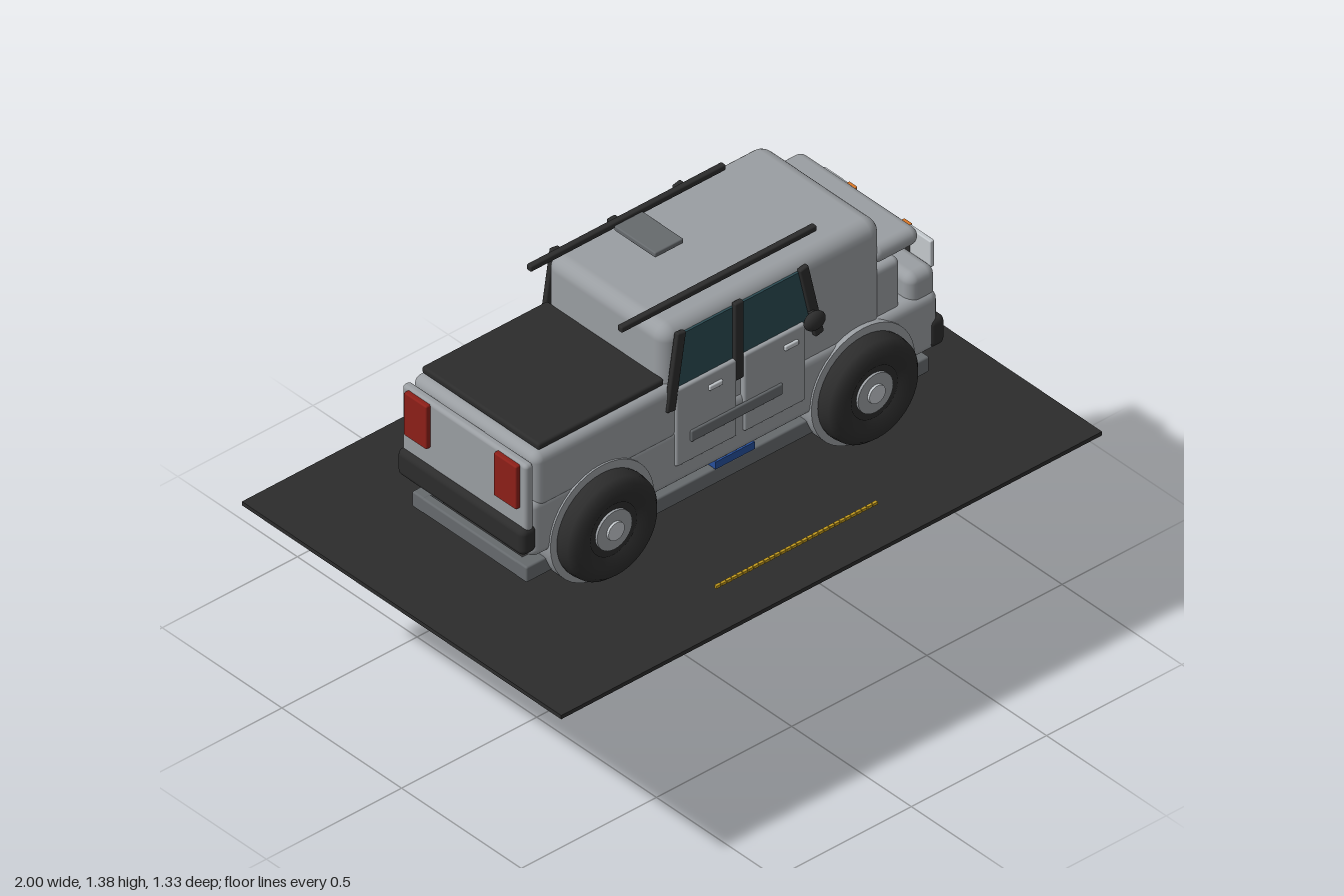
import * as THREE from 'three';
import { RoundedBoxGeometry } from 'three/addons/geometries/RoundedBoxGeometry.js';

const mat = (name, color) => Object.assign(new THREE.MeshStandardMaterial({ color }), { name });

export function createModel() {
  const body = mat('body grey', 0x9a9ea2);
  const steel = mat('dark steel', 0x666a6d);
  const black = mat('black trim', 0x2c2c2c);
  const glass = mat('teal glass', 0x2b4a52);
  const light = mat('lamp white', 0xc4c9cd);
  const red = mat('red', 0x8c1f18);
  const orange = mat('orange', 0xd87526);
  const blue = mat('blue', 0x264f9c);
  const yellow = mat('yellow', 0xc29a1e);

  const model = new THREE.Group();
  model.name = 'truckOnStand';
  const group = (name) => {
    const g = new THREE.Group();
    g.name = name;
    model.add(g);
    return g;
  };
  const add = (parent, name, geo, m) => {
    const mesh = new THREE.Mesh(geo, m);
    mesh.name = name;
    parent.add(mesh);
    return mesh;
  };
  // box from its limits, rounded when r > 0
  const box = (parent, name, m, [x0, x1], [y0, y1], [z0, z1], r = 0) => {
    const s = [x1 - x0, y1 - y0, z1 - z0];
    const geo = r ? new RoundedBoxGeometry(...s, 3, r) : new THREE.BoxGeometry(...s);
    const mesh = add(parent, name, geo, m);
    mesh.position.set((x0 + x1) / 2, (y0 + y1) / 2, (z0 + z1) / 2);
    return mesh;
  };
  // cylinder between two points
  const rod = (parent, name, m, a, b, r, sides = 20) => {
    const p = new THREE.Vector3(...a), q = new THREE.Vector3(...b);
    const d = q.clone().sub(p);
    const mesh = add(parent, name, new THREE.CylinderGeometry(r, r, d.length(), sides), m);
    mesh.position.copy(p).add(q).multiplyScalar(0.5);
    mesh.quaternion.setFromUnitVectors(new THREE.Vector3(0, 1, 0), d.normalize());
    return mesh;
  };
  // z limits mirrored to the chosen side
  const side = (s, a, b) => (s > 0 ? [a, b] : [-b, -a]);

  // ground plate with a dashed line
  const road = group('road');
  box(road, 'roadPlate', black, [-1, 1], [0.605, 0.618], [-0.667, 0.667]);
  for (let i = 0; i < 30; i++) {
    const x = -0.3 + i * 0.02;
    box(road, 'lineDash', yellow, [x, x + 0.017], [0.633, 0.642], [0.516, 0.525]);
  }

  // main body volumes
  const shell = group('bodyShell');
  box(shell, 'lowerBody', body, [-0.75, 0.76], [0.8, 1.0], [-0.262, 0.262], 0.03);
  box(shell, 'bed', body, [-0.735, -0.2], [0.96, 1.15], [-0.262, 0.262], 0.03);
  box(shell, 'cab', body, [-0.25, 0.56], [0.86, 1.335], [-0.252, 0.252], 0.045);
  box(shell, 'engineBay', body, [0.5, 0.635], [0.95, 1.16], [-0.24, 0.24], 0.02);
  box(shell, 'nose', body, [0.66, 0.76], [0.88, 1.078], [-0.25, 0.25], 0.03);
  box(shell, 'cowlRoll', body, [0.53, 0.7], [1.178, 1.236], [-0.25, 0.25], 0.028);
  box(shell, 'tailgate', body, [-0.77, -0.74], [0.9, 1.135], [-0.26, 0.26], 0.012);
  box(shell, 'bedCover', black, [-0.71, -0.245], [1.152, 1.175], [-0.245, 0.245], 0.008);

  // wheels, fenders and side details
  const tireProfile = [[0.085, -0.035], [0.12, -0.05], [0.15, -0.048], [0.166, -0.03], [0.17, 0],
    [0.166, 0.03], [0.15, 0.048], [0.12, 0.05], [0.085, 0.035]].map((p) => new THREE.Vector2(...p));
  for (const s of [1, -1]) {
    const wheels = group(s > 0 ? 'nearWheels' : 'farWheels');
    for (const x of [-0.495, 0.47]) {
      rod(shell, 'fender', body, [x, 0.82, s * 0.2], [x, 0.82, s * 0.268], 0.192, 40);
      const tire = add(wheels, 'tire', new THREE.LatheGeometry(tireProfile, 40), black);
      tire.rotation.x = Math.PI / 2;
      tire.position.set(x, 0.817, s * 0.28);
      rod(wheels, 'rim', black, [x, 0.817, s * 0.24], [x, 0.817, s * 0.312], 0.095, 32);
      rod(wheels, 'hubDisc', body, [x, 0.817, s * 0.3], [x, 0.817, s * 0.32], 0.065, 32);
      rod(wheels, 'hubCap', light, [x, 0.817, s * 0.31], [x, 0.817, s * 0.328], 0.03, 24);
    }
    const trim = group(s > 0 ? 'nearSide' : 'farSide');
    // window pane as a thin trapezoid
    const pane = new THREE.Shape([[-0.225, 1.13], [0.29, 1.13], [0.25, 1.31], [-0.195, 1.31]]
      .map((p) => new THREE.Vector2(...p)));
    const win = add(trim, 'window', new THREE.ExtrudeGeometry(pane, { depth: 0.008, bevelEnabled: false }), glass);
    win.position.z = s > 0 ? 0.25 : -0.258;
    for (const [x0, x1, y0] of [[-0.24, -0.2, 1.07], [0.012, 0.012, 1.06], [0.31, 0.252, 1.07]]) {
      const len = Math.hypot(x1 - x0, 1.325 - y0);
      const pillar = add(trim, 'pillar', new RoundedBoxGeometry(0.032, len, 0.018, 2, 0.005), black);
      pillar.position.set((x0 + x1) / 2, (1.325 + y0) / 2, s * 0.261);
      pillar.rotation.z = Math.atan2(x0 - x1, 1.325 - y0);
    }
    for (const [x0, x1] of [[-0.222, 0.003], [0.03, 0.257]]) {
      box(trim, 'door', body, [x0, x1], [0.87, 1.135], side(s, 0.245, 0.27), 0.008);
      const hx = x0 < 0 ? -0.08 : 0.2;
      box(trim, 'doorHandle', light, [hx - 0.025, hx + 0.025], [1.08, 1.097], side(s, 0.268, 0.278), 0.004);
    }
    box(trim, 'rubStrip', steel, [-0.172, 0.167], [0.937, 0.975], side(s, 0.266, 0.277), 0.005);
    const mirror = add(trim, 'mirror', new THREE.SphereGeometry(0.03, 20, 14), black);
    mirror.scale.set(1.25, 1, 0.65);
    mirror.position.set(0.262, 1.157, s * 0.3);
    rod(trim, 'mirrorArm', black, [0.285, 1.16, s * 0.255], [0.265, 1.157, s * 0.3], 0.01, 10);
    box(trim, 'roofRail', black, [-0.362, 0.36], [1.362, 1.382], side(s, 0.18, 0.2), 0.005);
    // lamps
    box(trim, 'headlight', light, [0.752, 0.768], [1.06, 1.15], side(s, 0.13, 0.23), 0.004);
    box(trim, 'turnSignal', orange, [0.752, 0.773], [1.06, 1.15], side(s, 0.098, 0.132), 0.003);
    rod(trim, 'fogLamp', light, [0.75, 0.9, s * 0.106], [0.768, 0.9, s * 0.106], 0.03);
    box(trim, 'tailLight', red, [-0.785, -0.765], [0.98, 1.128], side(s, 0.14, 0.235), 0.005);
    // chassis rail and side step
    box(trim, 'chassisRail', steel, [-0.75, 0.74], [0.715, 0.768], side(s, 0.19, 0.24), 0.006);
  }

  // front, rear and roof fittings
  const fittings = group('fittings');
  box(fittings, 'grille', black, [0.75, 0.765], [0.98, 1.1], [-0.145, 0.145], 0.003);
  box(fittings, 'frontPlate', blue, [0.762, 0.772], [1.03, 1.06], [-0.035, 0.035]);
  box(fittings, 'frontBumper', black, [0.72, 0.778], [0.81, 0.908], [-0.267, 0.267], 0.02);
  box(fittings, 'rearBumper', black, [-0.787, -0.73], [0.83, 0.92], [-0.265, 0.265], 0.02);
  box(fittings, 'roofPanel', steel, [-0.055, 0.05], [1.357, 1.374], [-0.18, -0.008], 0.004);
  box(fittings, 'roofPanelFoot', body, [-0.02, 0.02], [1.33, 1.36], [-0.105, -0.045]);
  for (const x of [-0.75, 0.71]) box(fittings, 'crossMember', steel, [x, x + 0.03], [0.716, 0.767], [-0.24, 0.24], 0.006);
  box(fittings, 'floorPan', steel, [-0.62, 0.6], [0.765, 0.81], [-0.18, 0.18]);
  box(fittings, 'batteryTray', blue, [-0.06, 0.085], [0.775, 0.8], [0.1, 0.25]);
  rod(fittings, 'muffler', steel, [-0.39, 0.715, 0.11], [-0.28, 0.715, 0.11], 0.035);
  rod(fittings, 'exhaustPipe', steel, [-0.3, 0.722, 0.11], [0.02, 0.73, 0.11], 0.014);

  // equipment hung on the far side
  const gear = group('sideEquipment');
  box(gear, 'mainCase', black, [-0.11, 0.11], [0.83, 1.0], [-0.35, -0.265], 0.012);
  box(gear, 'motorHousing', body, [-0.1, 0.1], [0.91, 1.05], [-0.388, -0.33], 0.015);
  box(gear, 'backPlate', black, [-0.08, 0.08], [1.02, 1.05], [-0.335, -0.26], 0.006);
  rod(gear, 'motorShaft', body, [0, 0.962, -0.385], [0, 0.962, -0.43], 0.03);
  box(gear, 'blade', black, [0.1, 0.112], [0.9, 1.11], [-0.402, -0.39]);
  box(gear, 'rearBox', black, [-0.235, -0.15], [0.83, 0.95], [-0.37, -0.27], 0.012);
  box(gear, 'frontBox', black, [0.11, 0.165], [0.85, 1.04], [-0.38, -0.265], 0.01);
  box(gear, 'smallBox', black, [0.165, 0.235], [0.93, 1.035], [-0.385, -0.32], 0.01);
  rod(gear, 'gearBracket', steel, [0.2, 0.98, -0.25], [0.2, 0.98, -0.33], 0.012);
  const cable = (m, x) => add(gear, 'cable', new THREE.TubeGeometry(new THREE.CatmullRomCurve3([
    new THREE.Vector3(x, 0.94, -0.28), new THREE.Vector3(x + 0.03, 1.0, -0.3),
    new THREE.Vector3(x + 0.06, 0.97, -0.27)]), 16, 0.006, 8), m);
  cable(orange, -0.16);
  cable(blue, -0.13);

  // stand below the plate
  const stand = group('stand');
  rod(stand, 'mast', body, [0, 0.25, -0.03], [0, 0.8, -0.045], 0.014);
  box(stand, 'controlCase', black, [-0.165, 0.162], [0.256, 0.555], [-0.115, -0.004], 0.015);
  box(stand, 'frontCover', body, [-0.058, 0.055], [0.252, 0.5], [-0.03, 0.006], 0.012);
  box(stand, 'rearPack', body, [-0.058, 0.055], [0.34, 0.533], [-0.17, -0.1], 0.015);
  rod(stand, 'lowerColumn', body, [0, 0.17, -0.097], [0, 0.36, -0.097], 0.023);
  rod(stand, 'thinLeg', body, [0, 0.12, -0.032], [0, 0.27, -0.032], 0.01);
  rod(stand, 'propLeg', body, [0.012, 0.26, -0.035], [0.09, 0.048, -0.065], 0.013);
  rod(stand, 'axle', body, [-0.225, 0.11, -0.135], [0.225, 0.11, -0.135], 0.008);
  rod(stand, 'axleStem', body, [0, 0.105, -0.135], [0, 0.2, -0.1], 0.014);
  for (const s of [1, -1]) {
    rod(stand, 'axleSleeve', body, [s * 0.08, 0.11, -0.135], [s * 0.22, 0.11, -0.135], 0.013);
    rod(stand, 'post', body, [s * 0.225, 0, -0.166], [s * 0.225, 0.212, -0.166], 0.02);
    rod(stand, 'standWheelDisc', body, [s * 0.219, 0.11, -0.135], [s * 0.231, 0.11, -0.135], 0.06, 28);
    const ring = add(stand, 'standWheelRing', new THREE.TorusGeometry(0.06, 0.011, 10, 32), red);
    ring.rotation.y = Math.PI / 2;
    ring.position.set(s * 0.225, 0.11, -0.135);
  }
  return model;
}
